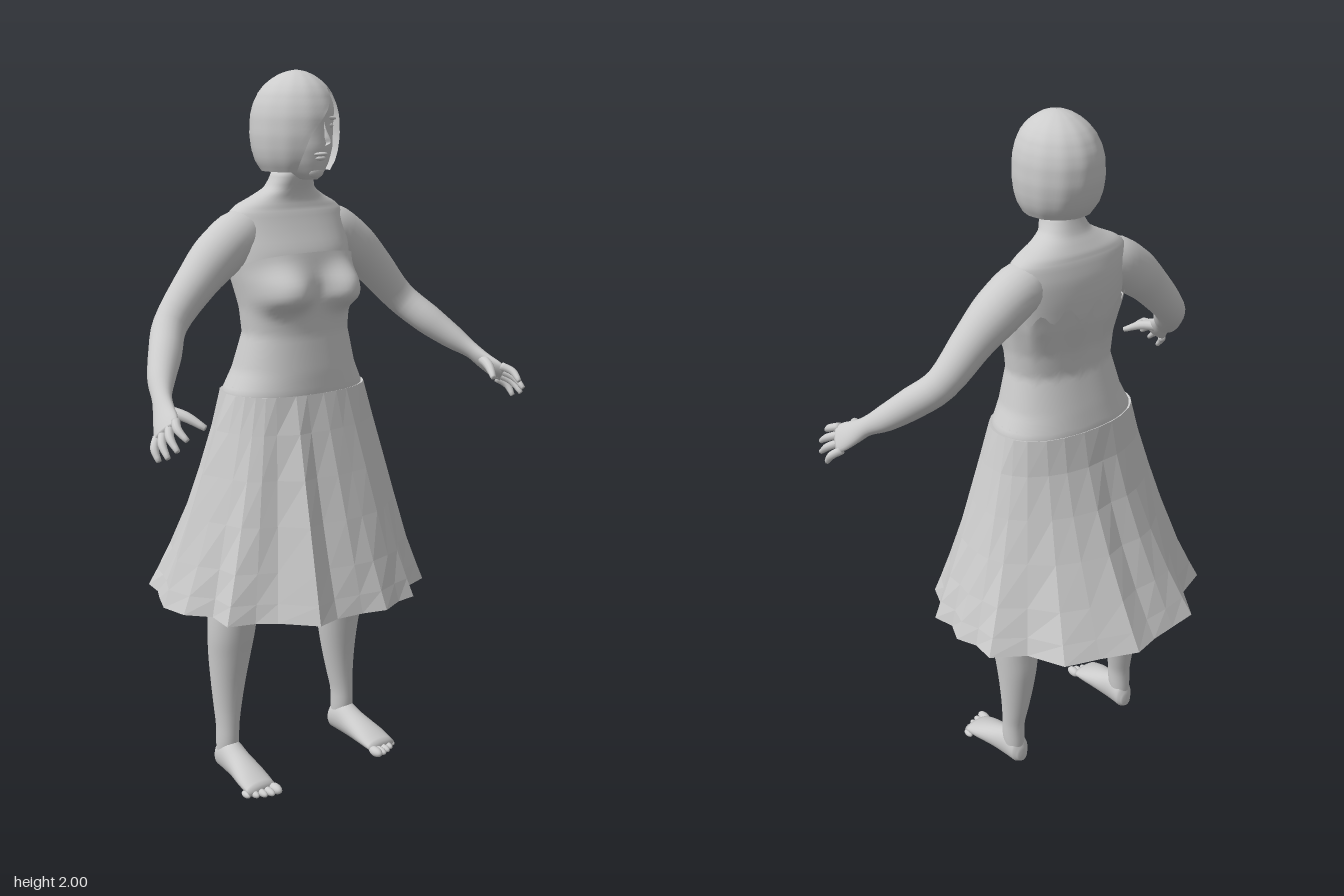
import * as THREE from 'three';

const grey = new THREE.MeshStandardMaterial({ color: 0xcccccc });
grey.name = 'plain grey';
const sheetGrey = grey.clone();
sheetGrey.name = 'plain grey sheet';
sheetGrey.side = THREE.DoubleSide;

const V = (x, y, z) => new THREE.Vector3(x, y, z);
const UP = V(0, 1, 0), FRONT = V(0, 0, 1);
// Slightly squared circle, used for the trunk and the waist
const square = v => Math.sign(v) * Math.abs(v) ** 0.88;

// Surface through rows of points, each row running from the front towards +x
function grid(rows, closed = true, flat = false) {
  const n = rows[0].length, index = [];
  for (let i = 0; i < rows.length - 1; i++) {
    for (let j = 0; j < (closed ? n : n - 1); j++) {
      const k = (j + 1) % n, a = i * n + j, b = i * n + k;
      index.push(a, b, b + n, a, b + n, a + n);
    }
  }
  let geo = new THREE.BufferGeometry().setFromPoints(rows.flat());
  geo.setIndex(index);
  if (flat) geo = geo.toNonIndexed();
  geo.computeVertexNormals();
  return geo;
}

// Smooth body through sections [x, y, z, side radius, ref radius];
// sections follow the path unless a fixed axis is given
function loft(sections, ref, axis = null, n = 20, shape = v => v) {
  const path = new THREE.CatmullRomCurve3(sections.map(s => V(s[0], s[1], s[2])));
  const size = new THREE.CatmullRomCurve3(sections.map(s => V(s[3], s[4], 0)));
  const steps = (sections.length - 1) * 4, rows = [];
  for (let i = 0; i <= steps; i++) {
    const c = path.getPoint(i / steps), r = size.getPoint(i / steps);
    const t = (axis || path.getTangent(i / steps)).clone().normalize();
    const w = ref.clone().addScaledVector(t, -ref.dot(t)).normalize();
    const u = t.clone().cross(w);
    const ring = k => Array.from({ length: n }, (_, j) => {
      const a = j / n * Math.PI * 2;
      return c.clone().addScaledVector(u, shape(Math.sin(a)) * r.x * k).addScaledVector(w, shape(Math.cos(a)) * r.y * k);
    });
    if (i === 0) rows.push(ring(0.01));
    rows.push(ring(1));
    if (i === steps) rows.push(ring(0.01));
  }
  return grid(rows);
}

// Linear sampling of a table whose first column is the height
function sample(table, y) {
  let i = 0;
  while (i < table.length - 2 && table[i + 1][0] < y) i++;
  const a = table[i], b = table[i + 1];
  const t = THREE.MathUtils.clamp((y - a[0]) / (b[0] - a[0]), 0, 1);
  return a.map((v, k) => v + (b[k] - v) * t);
}

export function createModel() {
  const root = new THREE.Group();
  root.name = 'figure';
  const add = (parent, name, geo, mat = grey) => {
    const m = new THREE.Mesh(geo, mat);
    m.name = name;
    parent.add(m);
    return m;
  };
  const group = name => {
    const g = new THREE.Group();
    g.name = name;
    root.add(g);
    return g;
  };
  const blob = (parent, name, p, r) => {
    const m = add(parent, name, new THREE.SphereGeometry(1, 20, 14));
    m.position.set(...p);
    m.scale.set(...r);
    return m;
  };
  const upright = (table, n, shape) =>
    loft(table.map(([y, z, rx, rz]) => [0, y, z, rx, rz]), FRONT, UP, n, shape);

  // Torso and neck: height, centre z, half width, half depth
  const torso = [
    [1.0, 0.03, 0.195, 0.135], [1.14, 0.033, 0.21, 0.137], [1.2, 0.038, 0.181, 0.126],
    [1.3, 0.045, 0.157, 0.103], [1.37, 0.043, 0.163, 0.106], [1.45, 0.032, 0.176, 0.114],
    [1.52, 0.02, 0.183, 0.109], [1.58, 0.006, 0.187, 0.092], [1.625, 0.001, 0.18, 0.076], [1.645, 0.001, 0.158, 0.068],
    [1.665, 0.006, 0.115, 0.06], [1.69, 0.017, 0.073, 0.055], [1.73, 0.032, 0.056, 0.056], [1.79, 0.045, 0.056, 0.056],
  ];
  add(root, 'torso', upright(torso, 36, square));

  // Strapless bodice: bust swells from the front, the back edge is ragged
  const rows = [], N = 80, R = 32;
  for (let k = 0; k <= R; k++) {
    rows.push(Array.from({ length: N }, (_, j) => {
      const a = j / N * Math.PI * 2, front = Math.max(0, Math.cos(a)), back = Math.max(0, -Math.cos(a)), f = k / R;
      const top = 1.465 + 0.057 * Math.sqrt(front) + back * (0.03 + 0.022 * Math.sin(a * 14));
      const y = 1.12 + (top - 1.12) * f;
      const [, z, rx, rz] = sample(torso, y);
      const s = 1.022 + 0.02 * f ** 6 + 0.04 * back * f ** 4 * (1 + Math.sin(a * 9));
      const x = square(Math.sin(a)) * rx * s;
      const dx = (Math.abs(x) - 0.1) / 0.062, dy = (y - 1.41) / (y < 1.41 ? 0.036 : 0.06);
      const bust = front ** 0.4 * Math.exp(-((dx * dx + dy * dy) ** 1.3) * 0.75);
      return V(x * (1 + 0.06 * bust), y, z + square(Math.cos(a)) * rz * s + 0.058 * bust);
    }));
  }
  add(root, 'bodice', grid(rows), sheetGrey);

  // Pleated skirt: hem outline (x, z) drawn in to the waist
  const hem = [
    [0.045, -0.375], [-0.03, -0.355], [-0.11, -0.345], [-0.195, -0.335], [-0.255, -0.235], [-0.35, -0.195],
    [-0.36, -0.13], [-0.385, -0.08], [-0.415, -0.01], [-0.4, 0.07], [-0.345, 0.13], [-0.355, 0.215],
    [-0.28, 0.24], [-0.23, 0.275], [-0.15, 0.36], [-0.08, 0.345], [0, 0.355], [0.07, 0.375],
    [0.14, 0.345], [0.2, 0.34], [0.24, 0.27], [0.32, 0.245], [0.345, 0.18], [0.4, 0.125],
    [0.385, 0.06], [0.41, 0.0], [0.385, -0.06], [0.39, -0.13], [0.3, -0.19], [0.25, -0.295], [0.15, -0.33],
  ];
  const skirtRows = [0.55, 0.6, 0.68, 0.8, 0.92, 1.04, 1.14].map(y => hem.map(([x, z], j) => {
    const a = Math.atan2(x / 0.41, z / 0.37), t = (1.14 - y) / 0.59;
    const f = t ** (1.05 + 0.42 * Math.max(0, -Math.cos(a)));
    const fold = 1 + (j % 2 ? -0.03 : 0.015) * 4 * t * (1 - t);
    return V(THREE.MathUtils.lerp(square(Math.sin(a)) * 0.222, x, f) * fold,
      y, THREE.MathUtils.lerp(0.033 + square(Math.cos(a)) * 0.143, z, f) * fold);
  }));
  // Waistband turned in against the body
  skirtRows.push(skirtRows.at(-1).map(p => V(p.x * 0.92, 1.137, 0.033 + (p.z - 0.033) * 0.92)));
  add(root, 'skirt', grid(skirtRows, true, true), sheetGrey);

  // Head and face
  const head = group('head');
  add(head, 'skull', upright([
    [1.715, 0.104, 0.02, 0.03], [1.73, 0.097, 0.038, 0.05], [1.76, 0.083, 0.062, 0.073], [1.8, 0.067, 0.08, 0.095],
    [1.85, 0.053, 0.09, 0.106], [1.9, 0.05, 0.092, 0.112], [1.95, 0.05, 0.075, 0.088], [1.975, 0.05, 0.045, 0.05],
  ], 32));
  add(head, 'nose', loft([[0, 1.88, 0.148, 0.009, 0.012], [0, 1.85, 0.157, 0.01, 0.016],
    [0, 1.825, 0.167, 0.012, 0.024], [0, 1.813, 0.167, 0.016, 0.022], [0, 1.804, 0.155, 0.011, 0.014]], FRONT, UP, 14));
  blob(head, 'upperLip', [0, 1.783, 0.156], [0.022, 0.006, 0.012]);
  blob(head, 'lowerLip', [0, 1.772, 0.152], [0.018, 0.007, 0.012]);
  blob(head, 'chin', [0, 1.738, 0.133], [0.026, 0.02, 0.018]);
  for (const s of [-1, 1]) {
    blob(head, 'eye', [s * 0.035, 1.856, 0.143], [0.016, 0.007, 0.009]);
    blob(head, 'brow', [s * 0.036, 1.876, 0.146], [0.022, 0.006, 0.009]).rotation.z = -s * 0.1;
  }

  // Bobbed hair, open over one side of the face
  const hair = [
    [1.735, 0.046, 0.092, 0.095], [1.76, 0.044, 0.106, 0.112], [1.79, 0.043, 0.114, 0.123], [1.83, 0.042, 0.118, 0.13],
    [1.88, 0.042, 0.115, 0.129], [1.91, 0.042, 0.108, 0.121], [1.94, 0.043, 0.095, 0.106], [1.96, 0.044, 0.08, 0.09],
    [1.975, 0.045, 0.063, 0.071], [1.988, 0.046, 0.043, 0.049], [1.996, 0.047, 0.023, 0.026], [2.0, 0.047, 0.001, 0.001],
  ];
  // height, then edge angles in degrees on the open side and the fringe side
  const part = [[1.735, 52, -36], [1.76, 51, -32], [1.83, 50, -20], [1.88, 47, 0], [1.93, 38, 22], [1.955, 31, 31]];
  const hairRows = [];
  for (let i = 0; i <= 32; i++) {
    const y = 1.735 + 0.265 * Math.sin(i / 32 * Math.PI / 2);
    const [, z, rx, rz] = sample(hair, y), [, open, fringe] = sample(part, y);
    hairRows.push(Array.from({ length: 61 }, (_, j) => {
      const a = THREE.MathUtils.degToRad(open + (360 + fringe - open) * j / 60);
      const s = 1 + 0.008 * Math.sin(a * 13);
      return V(Math.sin(a) * rx * s, y, z + Math.cos(a) * rz * s);
    }));
  }
  add(head, 'hair', grid(hairRows, false), sheetGrey);

  // Paired limbs
  for (const s of [-1, 1]) {
    const side = s > 0 ? 'left' : 'right';
    const arm = group(side + 'Arm');
    const across = V(-s * 0.035, 0.055, 0.065);
    const limb = (name, pts, n = 20) =>
      add(arm, name, loft(pts.map(([x, ...p]) => [s * x, ...p]), across, null, n));
    limb('armAndPalm', [[0.08, 1.595, 0, 0.045, 0.045], [0.165, 1.562, 0.002, 0.07, 0.07], [0.235, 1.514, 0.006, 0.068, 0.068],
      [0.3, 1.457, 0.013, 0.058, 0.058], [0.4, 1.35, 0.03, 0.046, 0.046], [0.455, 1.288, 0.09, 0.044, 0.044],
      [0.505, 1.235, 0.15, 0.034, 0.037], [0.535, 1.2, 0.2, 0.022, 0.028], [0.552, 1.173, 0.235, 0.019, 0.034],
      [0.568, 1.151, 0.268, 0.016, 0.041], [0.579, 1.138, 0.288, 0.012, 0.039]], 24);
    for (let f = 0; f < 4; f++) {
      const base = V(0.56, 1.166, 0.3).lerp(V(0.586, 1.12, 0.256), f / 3);
      const tip = V(0.568, 1.132, 0.364).lerp(V(0.61, 1.073, 0.3), f / 3).addScaledVector(V(0.1, -0.05, 0.15), f % 3 ? 0.1 : 0);
      const mid = base.clone().lerp(tip, 0.5).add(V(0.01, 0.004, 0));
      limb('finger', [[...base, 0.012, 0.012], [...mid, 0.011, 0.011], [...tip, 0.007, 0.007]], 10);
    }
    limb('thumb', [[0.55, 1.18, 0.225, 0.016, 0.016], [0.522, 1.17, 0.285, 0.014, 0.014],
      [0.495, 1.146, 0.333, 0.008, 0.008]], 10);

    // Leg with calf, knee and thigh, then foot and toes
    const leg = group(side + 'Leg');
    add(leg, 'leg', loft([
      [0.215, 0.04, -0.002, 0.028, 0.03], [0.215, 0.09, 0.004, 0.032, 0.037], [0.214, 0.14, 0.004, 0.033, 0.037],
      [0.21, 0.2, -0.001, 0.04, 0.042], [0.205, 0.28, -0.004, 0.051, 0.051], [0.201, 0.36, -0.002, 0.061, 0.062],
      [0.199, 0.43, 0.005, 0.068, 0.07], [0.195, 0.52, 0.012, 0.071, 0.08],
      [0.165, 0.7, 0.02, 0.094, 0.1], [0.13, 0.9, 0.025, 0.108, 0.118], [0.105, 1.08, 0.03, 0.095, 0.115],
    ].map(([x, ...p]) => [s * x, ...p]), FRONT, UP, 24));
    add(leg, 'foot', loft([
      [0.212, 0.032, -0.038, 0.016, 0.02], [0.213, 0.045, -0.022, 0.031, 0.043], [0.215, 0.053, 0.02, 0.036, 0.052],
      [0.217, 0.043, 0.07, 0.04, 0.042], [0.222, 0.029, 0.14, 0.048, 0.028], [0.224, 0.017, 0.19, 0.047, 0.016],
    ].map(([x, ...p]) => [s * x, ...p]), UP, FRONT, 24));
    for (let t = 0; t < 5; t++) {
      const r = t ? 0.0115 - t * 0.0005 : 0.0145;
      blob(leg, 'toe', [s * (0.187 + t * 0.0205), r, 0.203 - t * t * 0.0018], [r, r, 0.026 - t * 0.002]);
    }
  }
  return root;
}
